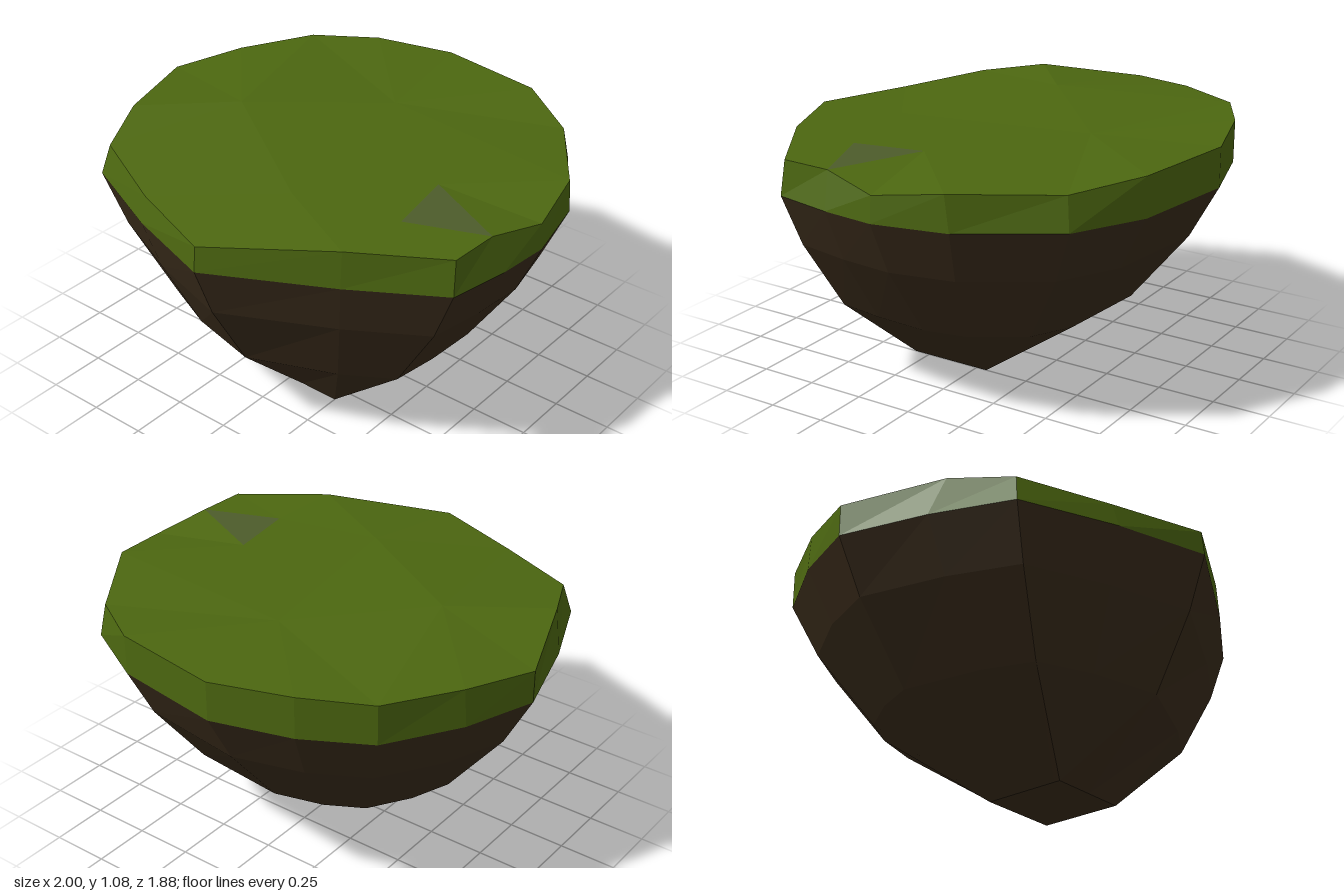
import * as THREE from 'three';

// Rim columns, running front -> left (+x) -> back -> right (-x): x, z of the lower rim
const RIM = [
  [0.07, 0.94], [0.57, 0.68], [0.93, 0.46], [0.98, 0.2], [1, -0.03], [0.93, -0.34],
  [0.69, -0.71], [0.39, -0.87], [-0.09, -0.94], [-0.43, -0.84], [-0.7, -0.69],
  [-0.89, -0.39], [-1, -0.09], [-0.89, 0.29], [-0.75, 0.63], [-0.34, 0.81],
];
// Upper edge of the turf: x, y, z per column
const TOP = [
  [0.07, 1, 0.93], [0.57, 1.05, 0.67], [0.92, 1.04, 0.44], [0.93, 1.04, 0.22],
  [0.99, 1, -0.03], [0.93, 1.04, -0.32], [0.67, 1.03, -0.69], [0.39, 1.06, -0.87],
  [-0.09, 1.06, -0.94], [-0.43, 1.07, -0.84], [-0.7, 1.06, -0.69], [-0.88, 1.05, -0.39],
  [-1, 1.03, -0.09], [-0.84, 1.06, 0.34], [-0.72, 1.02, 0.6], [-0.34, 1, 0.78],
];
const N = RIM.length;

// Flat-shaded mesh from a list of corner-point triangles
function facetMesh(name, triangles, color) {
  const geometry = new THREE.BufferGeometry();
  geometry.setAttribute('position', new THREE.Float32BufferAttribute(triangles.flat(2), 3));
  geometry.computeVertexNormals();
  const material = new THREE.MeshStandardMaterial({ color, flatShading: true });
  const mesh = new THREE.Mesh(geometry, material);
  mesh.name = name;
  return mesh;
}

// Side faces between two closed rings, lower then upper
function band(lower, upper) {
  const triangles = [];
  for (let i = 0; i < N; i++) {
    const j = (i + 1) % N;
    triangles.push([lower[i], lower[j], upper[j]], [lower[i], upper[j], upper[i]]);
  }
  return triangles;
}

// Ring part-way from the rim (0) to the small square base (1)
function ring(y, inward) {
  return RIM.map(([x, z]) => {
    const baseX = THREE.MathUtils.clamp(x, -0.12, 0.25);
    const baseZ = THREE.MathUtils.clamp(z, -0.05, 0.32);
    return [THREE.MathUtils.lerp(x, baseX, inward), y, THREE.MathUtils.lerp(z, baseZ, inward)];
  });
}

export function createModel() {
  const group = new THREE.Group();
  group.name = 'floatingIsland';

  // Tapering earth underside with a flat square foot
  const rings = [ring(0, 1), ring(0.34, 0.43), ring(0.66, 0.14), ring(0.89, 0)];
  const earth = [];
  for (let k = 0; k < 3; k++) earth.push(...band(rings[k], rings[k + 1]));
  const a = [-0.12, 0, -0.05], b = [0.25, 0, -0.05], c = [0.25, 0, 0.32], d = [-0.12, 0, 0.32];
  earth.push([a, b, c], [a, c, d]);
  group.add(facetMesh('earth', earth, 0x3a2c1b));

  // Turf: upright edge, then an uneven surface fanned around five inner points
  const A = [-0.48, 1.08, 0.05], B = [0.14, 1.04, 0.45], C = [0, 1.05, -0.4];
  const D = [0.55, 1.045, 0.04], E = [0.6, 1.04, 0.35];
  const hubs = [B, E, E, D, D, C, C, C, C, C, A, A, A, A, A, B];
  const turf = band(rings[3], TOP);
  let patch;
  for (let i = 0; i < N; i++) {
    const j = (i + 1) % N;
    turf.push([hubs[i], TOP[i], TOP[j]]);
    if (hubs[i] === hubs[j]) continue;
    const gap = [hubs[i], TOP[j], hubs[j]];
    if (hubs[i] === E) patch = gap;
    else turf.push(gap);
  }
  turf.push([A, B, C], [B, E, D], [B, D, C]);
  group.add(facetMesh('turf', turf, 0x4c6710));

  // Single bare stony facet in the turf
  group.add(facetMesh('stonePatch', [patch], 0x4d5c2b));
  return group;
}
